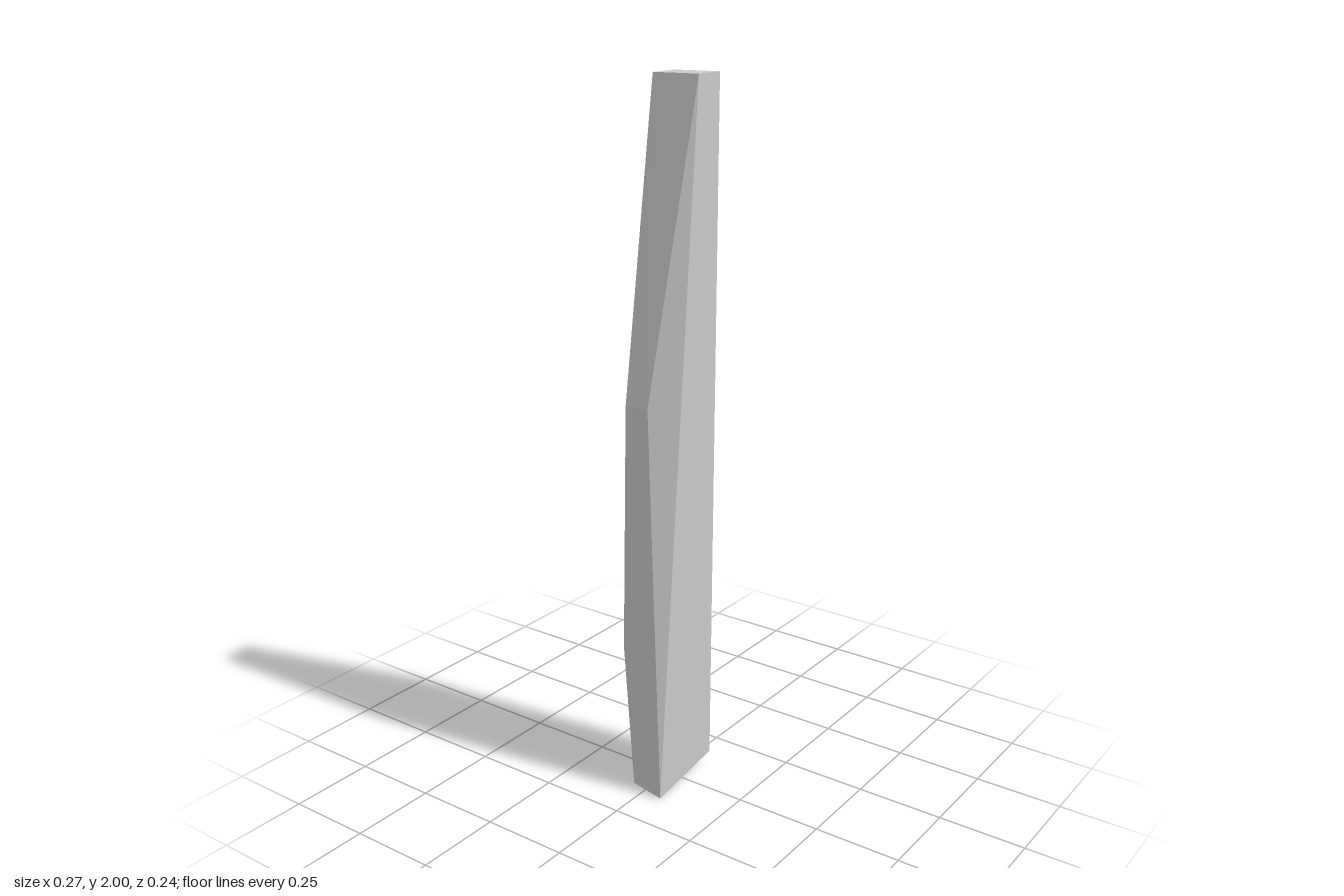
import * as THREE from 'three';
import { ConvexGeometry } from 'three/addons/geometries/ConvexGeometry.js';

export function createModel() {
  const group = new THREE.Group();
  group.name = 'standingStone';

  // Faceted pillar: the hull of four rings of corners
  const base = [[-0.128, 0, 0.062], [0.12, 0.037, 0.062], [0.121, 0.017, -0.031], [-0.128, 0.018, -0.031]];
  const backRidge = [[-0.061, 0.4, -0.115], [0.041, 0.4, -0.123]];
  const shoulders = [[-0.138, 1.15, -0.041], [-0.133, 1.15, 0.027], [0.132, 1.15, -0.064], [0.137, 1.15, 0]];
  const top = [[-0.055, 2, -0.01], [0.051, 2, -0.019], [0.062, 2, 0.112], [-0.043, 2, 0.121]];

  const corners = [...base, ...backRidge, ...shoulders, ...top].map((p) => new THREE.Vector3(...p));
  const stone = new THREE.Mesh(
    new ConvexGeometry(corners),
    new THREE.MeshStandardMaterial({ color: 0xcccccc, flatShading: true })
  );
  stone.name = 'stoneBody';
  group.add(stone);
  return group;
}
